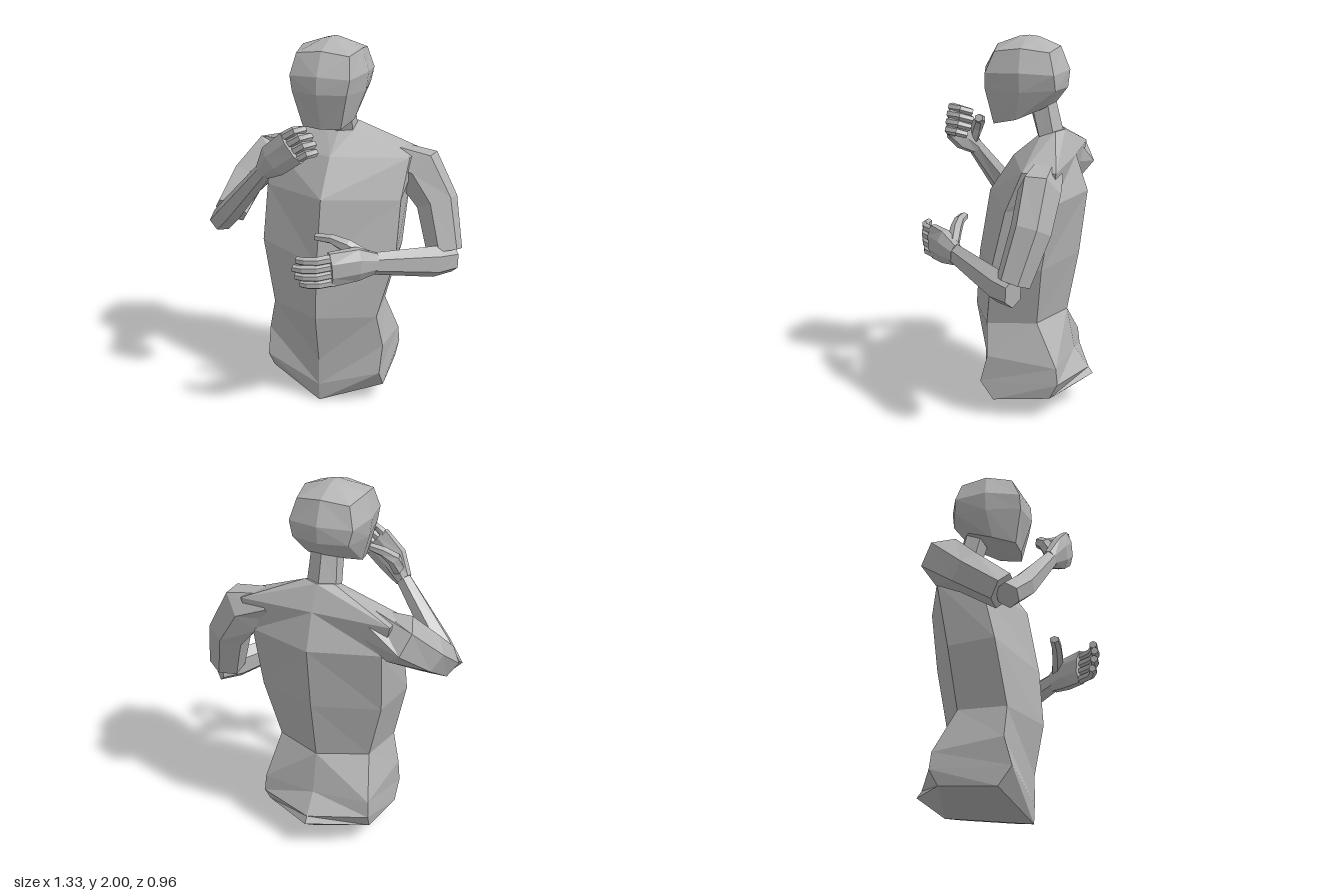
import * as THREE from 'three';

const clay = new THREE.MeshStandardMaterial({ color: 0xb4b4b4 });
clay.name = 'clay grey';

// Skin a list of equal-length rings into a closed, faceted solid
function loft(name, rings, startCap, endCap) {
  const tris = [];
  const n = rings[0].length;
  const centre = (r) => r.reduce((s, p) => s.add(p), new THREE.Vector3()).divideScalar(n);
  const end = rings[rings.length - 1];
  const first = startCap || centre(rings[0]);
  const last = endCap || centre(end);
  for (let j = 0; j < n; j++) {
    const k = (j + 1) % n;
    tris.push([first, rings[0][k], rings[0][j]], [last, end[j], end[k]]);
    for (let i = 0; i < rings.length - 1; i++) {
      const a = rings[i], b = rings[i + 1];
      // Opposite diagonals on the two halves keep the facets symmetric
      if (j < n / 2) tris.push([a[j], a[k], b[k]], [a[j], b[k], b[j]]);
      else tris.push([a[j], a[k], b[j]], [a[k], b[k], b[j]]);
    }
  }
  // Make the faces point outward whatever the ring direction
  let volume = 0;
  const cross = new THREE.Vector3();
  for (const [a, b, c] of tris) volume += a.dot(cross.crossVectors(b, c));
  if (volume < 0) tris.forEach((t) => t.reverse());
  const geometry = new THREE.BufferGeometry().setFromPoints(tris.flat());
  geometry.computeVertexNormals();
  const mesh = new THREE.Mesh(geometry, clay);
  mesh.name = name;
  return mesh;
}

// Mirrored ring: front [y,z], side points [x,y,z], back [y,z]
function mirroredRing(cx, front, sides, back) {
  const v = (x, y, z) => new THREE.Vector3(cx + x, y, z);
  return [
    v(0, ...front),
    ...sides.map(([x, y, z]) => v(x, y, z)),
    v(0, ...back),
    ...[...sides].reverse().map(([x, y, z]) => v(-x, y, z)),
  ];
}

// Sweep along points [x, y, z, halfHeight, halfThickness]
function limb(name, path, up, sides = 6) {
  const pts = path.map((p) => new THREE.Vector3(p[0], p[1], p[2]));
  const hint = new THREE.Vector3(...up).normalize();
  const rings = pts.map((p, i) => {
    const dir = pts[Math.min(i + 1, pts.length - 1)].clone().sub(pts[Math.max(i - 1, 0)]).normalize();
    const across = new THREE.Vector3().crossVectors(dir, hint).normalize();
    const high = new THREE.Vector3().crossVectors(across, dir);
    return Array.from({ length: sides }, (_, k) => {
      const a = ((k + 0.5) / sides) * Math.PI * 2;
      return p.clone()
        .addScaledVector(high, Math.sin(a) * path[i][3] * 1.1)
        .addScaledVector(across, Math.cos(a) * path[i][4] * 1.1);
    });
  });
  return loft(name, rings);
}

// Four fingers side by side, each following the same offsets
function fingers(name, base, spread, offsets, size) {
  const group = new THREE.Group();
  group.name = name;
  const step = new THREE.Vector3(...spread);
  for (let i = 0; i < 4; i++) {
    const s = i - 1.5;
    const reach = [0.97, 1.06, 1, 0.86][i];
    const path = offsets.map(([x, y, z], k) => [
      base[0] + step.x * s + x * reach,
      base[1] + step.y * s + y * reach,
      base[2] + step.z * s + z * reach,
      size * (1 - 0.06 * k), size * (1 - 0.06 * k),
    ]);
    group.add(limb('finger', path, spread));
  }
  return group;
}

export function createModel() {
  const model = new THREE.Group();
  model.name = 'figure bust';

  // Torso, from hips to the base of the neck
  const torso = [
    [[0, 0.125], [[0.33, 0.1, 0], [0.3, 0.125, -0.3]], [0.165, -0.48]],
    [[0.1, 0.13], [[0.33, 0.2, 0.07], [0.31, 0.21, -0.345]], [0.2, -0.455]],
    [[0.25, 0.13], [[0.335, 0.35, 0.03], [0.305, 0.3, -0.335]], [0.31, -0.375]],
    [[0.52, 0.18], [[0.3, 0.52, 0.04], [0.26, 0.53, -0.22]], [0.53, -0.33]],
    [[0.82, 0.16], [[0.385, 0.86, -0.01], [0.34, 0.85, -0.26]], [0.86, -0.39]],
    [[1.17, 0.1], [[0.385, 1.16, -0.08], [0.36, 1.2, -0.32]], [1.2, -0.43]],
    [[1.37, -0.03], [[0.4, 1.37, -0.17], [0.41, 1.38, -0.345]], [1.39, -0.365]],
    [[1.48, -0.16], [[0.08, 1.49, -0.19], [0.08, 1.52, -0.27]], [1.52, -0.305]],
  ].map((r) => mirroredRing(-0.03, ...r));
  model.add(loft('torso', torso, new THREE.Vector3(-0.03, 0.05, -0.33)));

  // Neck
  const neck = [
    [[1.44, -0.17], [[0.08, 1.46, -0.19], [0.08, 1.49, -0.26]], [1.49, -0.3]],
    [[1.6, -0.125], [[0.075, 1.62, -0.15], [0.07, 1.68, -0.22]], [1.69, -0.25]],
  ].map((r) => mirroredRing(-0.035, ...r));
  model.add(loft('neck', neck));

  // Head
  const head = [
    [[1.545, 0.07], [[0.105, 1.55, 0.055], [0.135, 1.58, -0.07], [0.1, 1.64, -0.21]], [1.66, -0.255]],
    [[1.74, 0.13], [[0.15, 1.74, 0.09], [0.185, 1.73, -0.1], [0.15, 1.74, -0.28]], [1.74, -0.315]],
    [[1.83, 0.125], [[0.165, 1.82, 0.085], [0.2, 1.83, -0.1], [0.17, 1.82, -0.275]], [1.83, -0.325]],
    [[1.95, 0.06], [[0.145, 1.93, 0.04], [0.165, 1.95, -0.1], [0.14, 1.93, -0.245]], [1.95, -0.275]],
    [[1.995, -0.06], [[0.05, 1.985, -0.06], [0.06, 1.985, -0.1], [0.05, 1.985, -0.15]], [1.995, -0.16]],
  ].map((r) => mirroredRing(-0.04, ...r));
  model.add(loft('head', head, null, new THREE.Vector3(-0.04, 2, -0.11)));

  // Left arm, held low across the belly
  const left = new THREE.Group();
  left.name = 'leftArm';
  left.add(
    limb('upperArm', [
      [0.24, 1.34, -0.265, 0.08, 0.08], [0.395, 1.285, -0.265, 0.1, 0.13],
      [0.505, 1.12, -0.25, 0.095, 0.105], [0.575, 0.87, -0.18, 0.08, 0.09],
    ], [0, 0, 1]),
    limb('forearm', [
      [0.62, 0.83, -0.19, 0.07, 0.05], [0.55, 0.835, -0.1, 0.08, 0.055],
      [0.3, 0.9, 0.2, 0.055, 0.036],
    ], [0, 1, 0]),
    limb('palm', [
      [0.31, 0.9, 0.19, 0.055, 0.036], [0.24, 0.915, 0.27, 0.085, 0.05],
      [0.13, 0.905, 0.37, 0.09, 0.036],
    ], [0, 1, 0], 8),
    limb('thumb', [
      [0.27, 0.94, 0.22, 0.035, 0.03], [0.17, 0.99, 0.235, 0.036, 0.03],
      [0.09, 1.02, 0.24, 0.024, 0.026], [0, 1.02, 0.24, 0.018, 0.024],
    ], [0, 1, 0]),
    fingers('fingers', [0.14, 0.9, 0.36], [0, -0.043, 0],
      [[0, 0, 0], [-0.06, 0, 0.07], [-0.12, 0, 0.092], [-0.165, 0, 0.09]], 0.023),
  );
  model.add(left);

  // Right arm, raised in front of the chin
  const right = new THREE.Group();
  right.name = 'rightArm';
  right.add(
    limb('upperArm', [
      [-0.3, 1.34, -0.265, 0.08, 0.08], [-0.46, 1.285, -0.26, 0.115, 0.12],
      [-0.555, 1.16, -0.12, 0.09, 0.1], [-0.575, 1.03, 0.06, 0.09, 0.085],
    ], [1, 0, 0]),
    limb('forearm', [
      [-0.62, 0.98, 0.09, 0.06, 0.065], [-0.53, 1.07, 0.15, 0.06, 0.065],
      [-0.27, 1.36, 0.26, 0.042, 0.036],
    ], [-0.55, 0.83, 0]),
    limb('palm', [
      [-0.28, 1.35, 0.255, 0.045, 0.036], [-0.2, 1.43, 0.3, 0.085, 0.042],
      [-0.09, 1.515, 0.325, 0.09, 0.033],
    ], [-0.55, 0.83, 0], 8),
    limb('thumb', [
      [-0.25, 1.4, 0.26, 0.035, 0.03], [-0.23, 1.47, 0.23, 0.035, 0.03],
      [-0.18, 1.52, 0.195, 0.026, 0.026], [-0.11, 1.54, 0.185, 0.02, 0.022],
    ], [0, 1, 0]),
    fingers('fingers', [-0.1, 1.51, 0.32], [0.024, -0.036, 0],
      [[0, 0, 0], [0.055, 0.035, 0.005], [0.085, 0.03, -0.055], [0.055, 0.01, -0.11]], 0.023),
  );
  model.add(right);

  return model;
}
